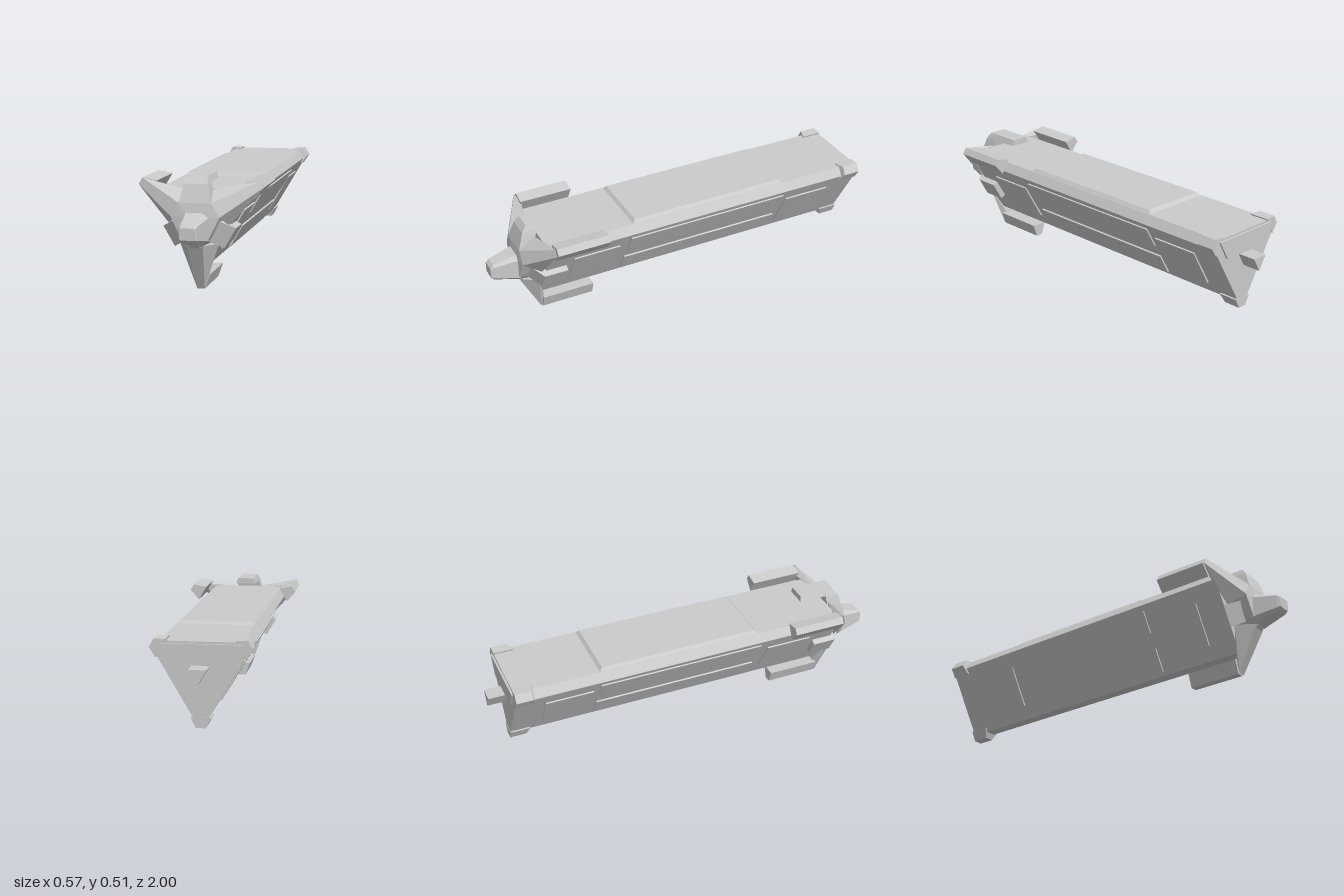
import * as THREE from 'three';
import { ConvexGeometry } from 'three/addons/geometries/ConvexGeometry.js';

const CY = 0.317;               // axis height of the three-sided layout
const ALL = [180, -60, 60];     // the three corners
const material = new THREE.MeshStandardMaterial({ color: 0xcccccc, flatShading: true });

// Faceted solid around a few corner points
function hull(name, points) {
  const mesh = new THREE.Mesh(new ConvexGeometry(points.map(p => new THREE.Vector3(...p))), material);
  mesh.name = name;
  return mesh;
}

// Mirrors points [x, y, z] across x = 0
const mirror = pts => pts.flatMap(([x, y, z]) => [[x, y, z], [-x, y, z]]);

// Prism along z from a mirrored half-outline of [halfWidth, y]
const prism = (name, half, z0, z1) =>
  hull(name, mirror(half.flatMap(([x, y]) => [[x, y, z0], [x, y, z1]])));

function box(name, w, h, d, x, y, z) {
  const mesh = new THREE.Mesh(new THREE.BoxGeometry(w, h, d), material);
  mesh.position.set(x, y, z);
  mesh.name = name;
  return mesh;
}

// Group turned about the long axis; its local +y points outward
function radial(name, degrees, ...parts) {
  const g = new THREE.Group();
  g.name = name;
  g.position.y = CY;
  g.rotation.z = THREE.MathUtils.degToRad(degrees);
  g.add(...parts);
  return g;
}

// Chamfered rectangle ring for the nose
const ring = (w, y0, y1, c, z) => mirror([[w, y0 + c, z], [w, y1 - c, z], [w - c, y0, z], [w - c, y1, z]]);

export function createModel() {
  const model = new THREE.Group();
  model.name = 'model';

  // Long triangular hull with blunted corners and a raised roof plate
  model.add(prism('body', [[0.18, 0.45], [0.205, 0.407], [0.025, 0.1]], -0.91, 0.765));
  model.add(hull('roofPanel', mirror([
    [0.178, 0.449, 0.33], [0.178, 0.449, -0.49],
    [0.165, 0.465, 0.315], [0.165, 0.465, -0.475],
  ])));

  // Raised plates on both slanted sides
  for (const a of [120, -120]) {
    model.add(radial('sidePanels', a,
      box('frontPanel', 0.208, 0.012, 0.235, 0, 0.133, 0.512),
      box('rearPanel', 0.208, 0.012, 0.24, 0, 0.133, -0.64),
      box('longPanel', 0.115, 0.012, 0.835, 0.095, 0.133, -0.072),
      box('longPanel', 0.115, 0.012, 0.835, -0.095, 0.133, -0.072)));
  }

  // Stern: corner caps, raised plate and triangular nozzle
  for (const a of ALL) {
    model.add(radial('sternCap', a, hull('cap', mirror([
      [0.022, 0.247, -0.912], [0.022, 0.247, -0.83],
      [0.046, 0.2, -0.912], [0.046, 0.2, -0.815],
    ]))));
  }
  model.add(prism('sternPanel', [[0.178, 0.44], [0.125, 0.347]], -0.92, -0.9));
  model.add(prism('nozzle', [[0.04, 0.345], [0, 0.277]], -1, -0.9));

  // Bow arms: a tapering strut ending in a beam that runs aft
  for (const a of ALL) {
    model.add(radial('bowArm', a,
      hull('strut', mirror([
        [0.035, 0.105, 0.865], [0.088, 0.105, 0.785],
        [0.017, 0.317, 0.757], [0.017, 0.25, 0.742],
      ])),
      prism('beam', [[0.017, 0.317], [0.04, 0.253]], 0.49, 0.75)));
  }

  // Hub joining the arms, swelling towards the nose
  const hubPoints = [];
  for (const a of ALL) {
    const t = THREE.MathUtils.degToRad(a), c = Math.cos(t), s = Math.sin(t);
    for (const [x, y, z] of mirror([[0.035, 0.105, 0.865], [0.05, 0.105, 0.76]])) {
      hubPoints.push([x * c - y * s, CY + x * s + y * c, z]);
    }
  }
  model.add(hull('hub', [...hubPoints, ...ring(0.062, 0.222, 0.36, 0.022, 0.872)]));

  // Blunt nose with a small chin
  model.add(hull('nose', [
    ...ring(0.062, 0.215, 0.36, 0.022, 0.865),
    ...ring(0.054, 0.232, 0.345, 0.018, 0.9),
    ...ring(0.04, 0.247, 0.328, 0.01, 0.985),
    ...ring(0.034, 0.26, 0.312, 0.004, 1),
  ]));
  model.add(hull('chin', mirror([
    [0.025, 0.2, 0.86], [0.014, 0.23, 0.885], [0.025, 0.2, 0.8], [0.014, 0.23, 0.8],
  ])));

  // Top hook rising from the hub and bending aft over the roof
  model.add(hull('topHookRoot', mirror([
    [0.072, 0.4, 0.865], [0.072, 0.4, 0.785],
    [0.055, 0.48, 0.838], [0.055, 0.478, 0.77],
    [0.043, 0.51, 0.815], [0.043, 0.51, 0.77],
  ])));
  model.add(prism('topHook', [[0.043, 0.51], [0.053, 0.48]], 0.63, 0.8));

  // Shorter hooks bending aft over the slanted sides
  for (const a of [120, -120]) {
    model.add(radial('sideHook', a,
      hull('sideHookRoot', mirror([
        [0.05, 0.075, 0.84], [0.05, 0.075, 0.77],
        [0.052, 0.16, 0.78], [0.052, 0.13, 0.765],
      ])),
      hull('sideHookPlate', mirror([
        [0.052, 0.16, 0.78], [0.052, 0.13, 0.78],
        [0.05, 0.16, 0.662], [0.05, 0.13, 0.662],
      ]))));
  }
  return model;
}
